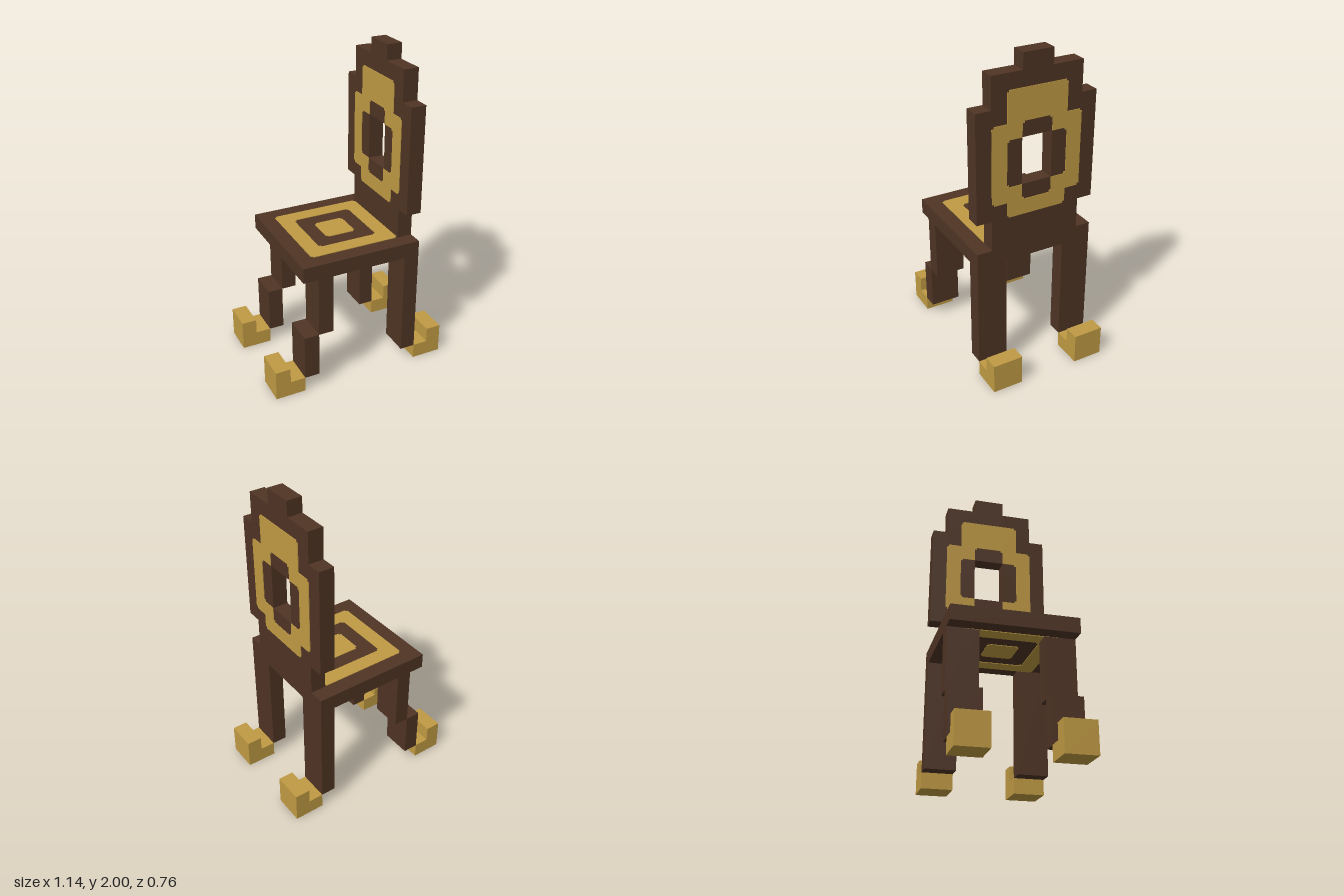
import * as THREE from 'three';

const U = 2 / 21;      // one block
const T = 0.004;       // inlay plate thickness
const N = 0.13;        // small stepped notch on inlay corners, in blocks

// Symmetric stepped outline from rows [bottom, top, halfWidth]; convex corners can be notched.
function outline(rows, notch = 0) {
  const right = [];
  rows.forEach(([b, t, w], i) => {
    const below = i > 0 ? rows[i - 1][2] : 0;
    const above = i < rows.length - 1 ? rows[i + 1][2] : 0;
    if (notch && w > below) right.push([w - notch, b], [w - notch, b + notch], [w, b + notch]);
    else right.push([w, b]);
    if (notch && w > above) right.push([w, t - notch], [w - notch, t - notch], [w - notch, t]);
    else right.push([w, t]);
  });
  const left = right.map(([x, y]) => [-x, y]).reverse();
  return [...right, ...left].map(([x, y]) => new THREE.Vector2(x * U, y * U));
}

function extrude(points, hole, depth) {
  const shape = new THREE.Shape(points);
  if (hole) shape.holes.push(new THREE.Path(hole));
  return new THREE.ExtrudeGeometry(shape, { depth, bevelEnabled: false });
}

export function createModel() {
  const brown = new THREE.MeshStandardMaterial({ color: 0x4f3424 });
  brown.name = 'dark wood';
  const gold = new THREE.MeshStandardMaterial({ color: 0xc09a43 });
  gold.name = 'gold';

  const model = new THREE.Group();
  model.name = 'chair';

  const add = (name, geometry, material, parent = model) => {
    const mesh = new THREE.Mesh(geometry, material);
    mesh.name = name;
    parent.add(mesh);
    return mesh;
  };
  // Box given by its block limits
  const box = (name, material, x0, x1, y0, y1, z0, z1, parent) =>
    add(name, new THREE.BoxGeometry((x1 - x0) * U, (y1 - y0) * U, (z1 - z0) * U), material, parent)
      .position.set((x0 + x1) / 2 * U, (y0 + y1) / 2 * U, (z0 + z1) / 2 * U);

  // Seat with concentric square inlays above and below
  box('seat', brown, -4, 4, 8, 9, -4, 4);
  const square = (r) => outline([[-r, r, r]], N);
  for (const [side, y] of [['Top', 9 * U], ['Bottom', 8 * U - T]]) {
    const ring = extrude(square(3), square(2), T);
    const centre = extrude(square(1), null, T);
    for (const [name, g] of [['seatRing', ring], ['seatCentre', centre]]) {
      g.rotateX(-Math.PI / 2).translate(0, y, 0);
      add(name + side, g, gold);
    }
  }

  // Stepped backrest with a rectangular opening
  const back = extrude(
    outline([[9, 11, 3], [11, 18, 4], [18, 20, 3], [20, 21, 1]]),
    outline([[13, 16, 1]]), U);
  add('backrest', back.rotateY(Math.PI / 2).translate(3 * U, 0, 0), brown);

  // Gold ring on both faces of the backrest
  for (const [name, x] of [['backrestRingInner', 3 * U - T], ['backrestRingOuter', 4 * U]]) {
    const ring = extrude(
      outline([[11, 12, 2], [12, 17, 3], [17, 19, 2]], N),
      outline([[12, 13, 1], [13, 16, 2], [16, 17, 1]], N), T);
    add(name, ring.rotateY(Math.PI / 2).translate(x, 0, 0), gold);
  }

  // Legs and upturned feet, one set on each side
  for (const [side, z] of [['Left', 2], ['Right', -4]]) {
    const legs = new THREE.Group();
    legs.name = 'legs' + side;
    model.add(legs);
    box('straightLeg', brown, 3, 4, 1, 8, z, z + 2, legs);
    box('bentLegUpper', brown, -3, -2, 4, 8, z, z + 2, legs);
    box('bentLegLower', brown, -4, -3, 1, 4, z, z + 2, legs);
    for (const s of [-1, 1]) {
      const foot = new THREE.Shape([[4, 0], [6, 0], [6, 2], [5, 2], [5, 1], [4, 1]]
        .map(([x, y]) => new THREE.Vector2(s * x * U, y * U)));
      const g = new THREE.ExtrudeGeometry(foot, { depth: 2 * U, bevelEnabled: false });
      add('foot', g.translate(0, 0, z * U), gold, legs);
    }
  }
  return model;
}
